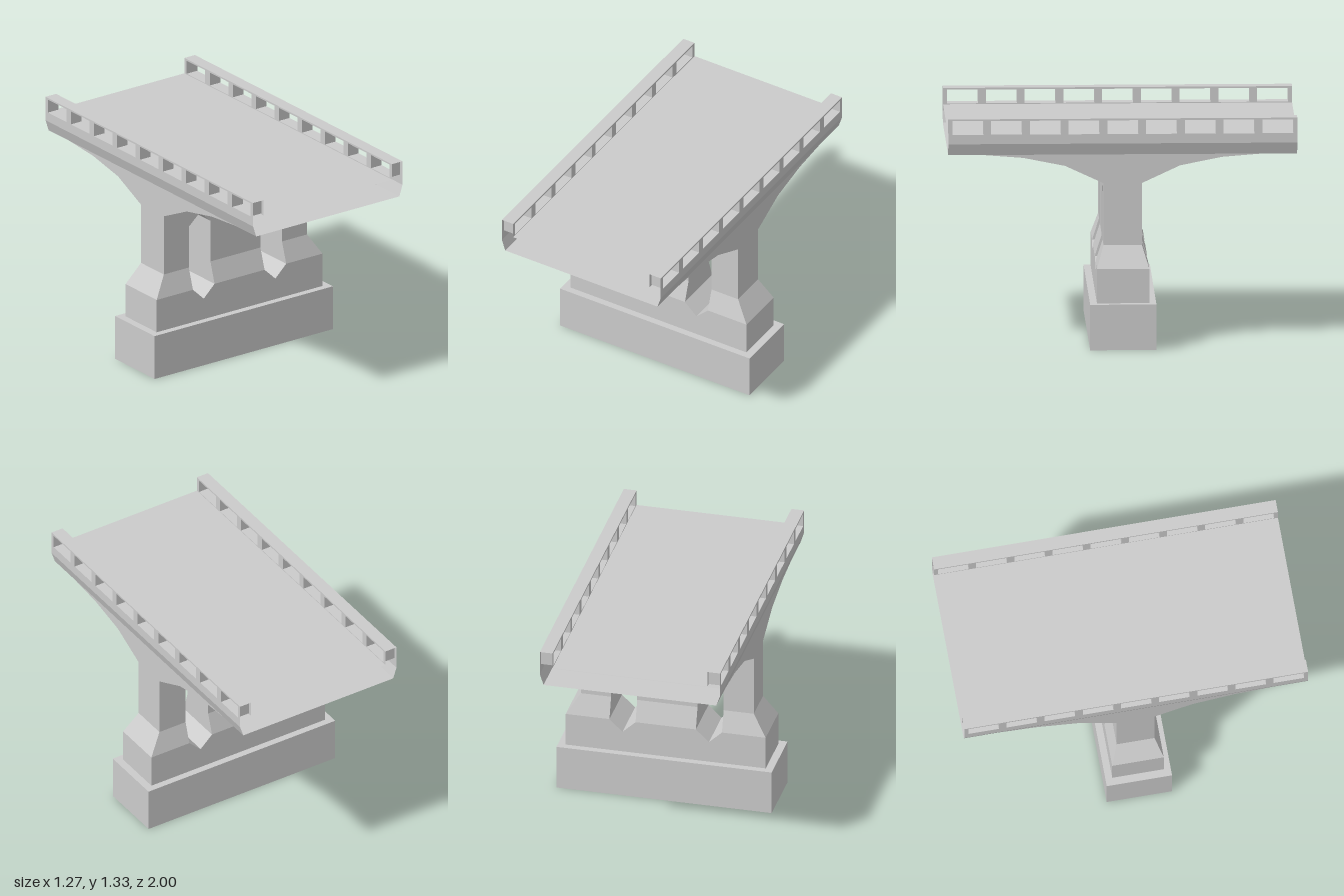
import * as THREE from 'three';

const mat = new THREE.MeshStandardMaterial({ color: 0xcccccc, flatShading: true, side: THREE.DoubleSide });

// Flat-shaded surface from a list of four-cornered faces
function quads(list) {
  const pos = [];
  for (const [a, b, c, d] of list) pos.push(...a, ...b, ...c, ...a, ...c, ...d);
  const g = new THREE.BufferGeometry();
  g.setAttribute('position', new THREE.Float32BufferAttribute(pos, 3));
  g.computeVertexNormals();
  return g;
}

const toShape = pts => new THREE.Shape(pts.map(p => new THREE.Vector2(...p)));
const flip = (s, q) => (s > 0 ? q : q.slice().reverse());

function add(parent, name, geometry) {
  const m = new THREE.Mesh(geometry, mat);
  m.name = name;
  parent.add(m);
  return m;
}

// Heights
const FOOT = 0.265, KNEE = 0.465, NECK = 0.59, SPRING = 0.95;
const EDGE = 1.118, LIP = 1.185, DECK = 1.235, RAIL = 1.33;
// Half widths
const WALL_X = 0.51, BASE_X = 0.59, DECK_X = 0.532, RAIL_X = 0.457;
const WALL_Z = 0.11, BASE_Z = 0.15;
// Pointed openings through the pier
const IN = 0.178, OUT = 0.332, MID = 0.255;

// Pier half thickness at a height
function halfDepth(y) {
  const t = THREE.MathUtils.clamp((y - KNEE) / (NECK - KNEE), 0, 1);
  return THREE.MathUtils.lerp(BASE_Z, WALL_Z, t);
}

// Extrude a front outline, then pull its two faces to the pier thickness
function pierBand(pts) {
  const g = new THREE.ExtrudeGeometry(toShape(pts), { depth: 1, bevelEnabled: false });
  const p = g.attributes.position;
  for (let i = 0; i < p.count; i++) p.setZ(i, (p.getZ(i) > 0.5 ? 1 : -1) * halfDepth(p.getY(i)));
  g.computeVertexNormals();
  return g;
}

function buildPier() {
  const pier = new THREE.Group();
  pier.name = 'pier';
  const mirrored = half => [...half, ...half.slice().reverse().map(([x, y]) => [-x, y])];
  // Lower block, notched by the bottom points of the openings
  add(pier, 'pierBase', pierBand(mirrored(
    [[BASE_X, FOOT], [BASE_X, KNEE], [OUT, KNEE], [MID, 0.392], [IN, KNEE]])));
  // Sloping shoulders between the openings
  add(pier, 'middleShoulder', pierBand([[-IN, KNEE], [IN, KNEE], [IN, NECK], [-IN, NECK]]));
  for (const s of [1, -1]) {
    add(pier, s > 0 ? 'leftShoulder' : 'rightShoulder', pierBand(
      [[s * OUT, KNEE], [s * BASE_X, KNEE], [s * WALL_X, NECK], [s * OUT, NECK]]));
  }
  // Upper wall, with the tops of the openings
  add(pier, 'pierWall', pierBand(mirrored(
    [[WALL_X, SPRING], [WALL_X, NECK], [OUT, NECK], [OUT, 0.842], [MID, 0.91], [IN, 0.842], [IN, NECK]])));
  return pier;
}

// Footing block, open underneath
function buildFooting() {
  const X = 0.635, Z = 0.19;
  const faces = [[[-X, FOOT, Z], [X, FOOT, Z], [X, FOOT, -Z], [-X, FOOT, -Z]]];
  for (const s of [1, -1]) {
    faces.push(flip(s, [[-X, 0, s * Z], [X, 0, s * Z], [X, FOOT, s * Z], [-X, FOOT, s * Z]]));
    faces.push(flip(s, [[s * X, 0, Z], [s * X, 0, -Z], [s * X, FOOT, -Z], [s * X, FOOT, Z]]));
  }
  return quads(faces);
}

// Hollow deck girder, open at both ends
function buildDeck() {
  const deck = new THREE.Group();
  deck.name = 'deck';
  const arch = [[WALL_Z, SPRING], [0.33, 1.052], [0.57, 1.1], [0.8, EDGE], [1, EDGE]];

  const soffit = [];
  for (const s of [1, -1]) {
    for (let i = 0; i < arch.length - 1; i++) {
      const [z0, y0] = arch[i], [z1, y1] = arch[i + 1];
      soffit.push(flip(s, [[-WALL_X, y0, s * z0], [WALL_X, y0, s * z0],
        [WALL_X, y1, s * z1], [-WALL_X, y1, s * z1]]));
    }
  }
  add(deck, 'curvedSoffit', quads(soffit));

  // Haunched side walls and the sloping lip above them
  const half = arch.slice(0, 4);
  const sideShape = toShape([...half, ...half.slice().reverse().map(([z, y]) => [-z, y])]);
  for (const s of [1, -1]) {
    const side = s > 0 ? 'left' : 'right';
    const g = new THREE.ShapeGeometry(sideShape);
    g.rotateY(s * Math.PI / 2);
    g.translate(s * WALL_X, 0, 0);
    add(deck, side + 'Haunch', g);
    add(deck, side + 'Lip', quads([flip(s, [[s * WALL_X, EDGE, 1], [s * WALL_X, EDGE, -1],
      [s * DECK_X, LIP, -1], [s * DECK_X, LIP, 1]])]));
  }
  add(deck, 'roadway', quads([[[-RAIL_X, DECK, 1], [RAIL_X, DECK, 1], [RAIL_X, DECK, -1], [-RAIL_X, DECK, -1]]]));
  return deck;
}

// Hollow parapet with nine rectangular openings
function buildParapet(s) {
  const parapet = new THREE.Group();
  parapet.name = s > 0 ? 'leftParapet' : 'rightParapet';
  const y0 = 1.24, y1 = 1.32, a = s * RAIL_X, b = s * DECK_X;
  const spans = Array.from({ length: 9 }, (_, i) => [(i - 4) * 0.222 - 0.089, (i - 4) * 0.222 + 0.089]);

  const wall = (x, bottom, dir) => {
    const shape = toShape([[-1, bottom], [1, bottom], [1, RAIL], [-1, RAIL]]);
    for (const [p, q] of spans) shape.holes.push(toShape([[p, y0], [p, y1], [q, y1], [q, y0]]));
    const g = new THREE.ShapeGeometry(shape);
    g.rotateY(dir * Math.PI / 2);
    g.translate(x, 0, 0);
    return g;
  };
  add(parapet, 'outerFace', wall(b, LIP, s));
  add(parapet, 'innerFace', wall(a, DECK, -s));
  add(parapet, 'coping', quads([flip(s, [[a, RAIL, 1], [b, RAIL, 1], [b, RAIL, -1], [a, RAIL, -1]])]));

  // Reveals of the openings
  const reveals = [];
  for (const [p, q] of spans) {
    const c = [[p, y0], [q, y0], [q, y1], [p, y1]];
    c.forEach(([z, y], i) => {
      const [w, v] = c[(i + 1) % 4];
      reveals.push(flip(s, [[a, y, z], [a, v, w], [b, v, w], [b, y, z]]));
    });
  }
  add(parapet, 'openingReveals', quads(reveals));
  return parapet;
}

export function createModel() {
  const model = new THREE.Group();
  model.name = 'bridgeSection';
  add(model, 'footing', buildFooting());
  model.add(buildPier(), buildDeck(), buildParapet(1), buildParapet(-1));
  return model;
}
